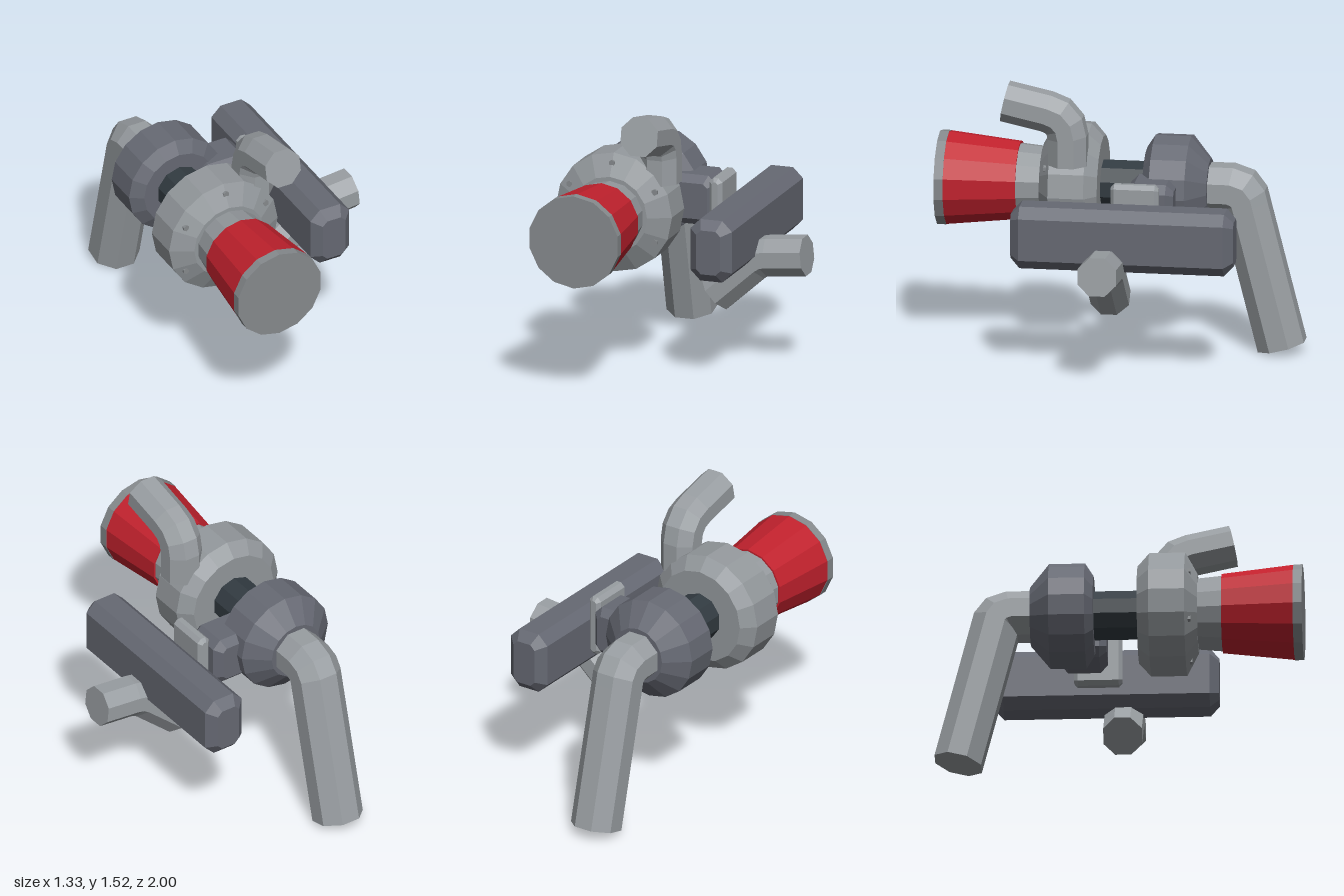
import * as THREE from 'three';

const mat = (name, color) => {
  const m = new THREE.MeshStandardMaterial({ color });
  m.name = name;
  return m;
};

export function createModel() {
  const group = new THREE.Group();
  group.name = 'turbocharger';
  const pipeGrey = mat('pipe grey', 0x999ea2);
  const castGrey = mat('cast grey', 0x93989c);
  const capGrey = mat('cap grey', 0x868a8d);
  const darkGrey = mat('dark grey', 0x666973);
  const shaftDark = mat('shaft dark', 0x323b41);
  const red = mat('filter red', 0xc1212d);
  const AX = -0.33, AY = 0.905; // main axis, running along z

  // Adds a mesh with faceted normals
  function add(name, geo, material, x = 0, y = 0, z = 0) {
    const g = geo.index ? geo.toNonIndexed() : geo;
    g.computeVertexNormals();
    const mesh = new THREE.Mesh(g, material);
    mesh.name = name;
    mesh.position.set(x, y, z);
    group.add(mesh);
    return mesh;
  }

  // Solid of revolution about the main axis; profile is [radius, z], back to front
  function turned(name, profile, sides, material) {
    const pts = profile.map(([r, z]) => new THREE.Vector2(r, z));
    const geo = new THREE.LatheGeometry(pts, sides).rotateX(Math.PI / 2);
    return add(name, geo, material, AX, AY, 0);
  }

  // Box with every edge chamfered by c
  function chamferBox(name, [x0, x1], [y0, y1], [z0, z1], c, material) {
    const a = (x1 - x0) / 2 - c, b = (y1 - y0) / 2 - c, k = c * 0.55;
    const shape = new THREE.Shape([
      [a, -b + k], [a, b - k], [a - k, b], [-a + k, b],
      [-a, b - k], [-a, -b + k], [-a + k, -b], [a - k, -b],
    ].map(([x, y]) => new THREE.Vector2(x, y)));
    const depth = z1 - z0 - 2 * c;
    const geo = new THREE.ExtrudeGeometry(shape, {
      depth, bevelEnabled: true, bevelSegments: 1, bevelSize: c, bevelThickness: c,
    }).translate(0, 0, -depth / 2);
    return add(name, geo, material, (x0 + x1) / 2, (y0 + y1) / 2, (z0 + z1) / 2);
  }

  // Eight-sided pipe swept along a planar path in (u, v); place maps (u, v, w) to space
  function pipe(name, path, half, place, material) {
    const N = 8, R = half / Math.cos(Math.PI / N), pos = [], idx = [];
    const P = path.map(([u, v]) => new THREE.Vector2(u, v));
    const dir = (i) => P[i + 1].clone().sub(P[i]).normalize();
    P.forEach((p, i) => {
      const d0 = dir(Math.max(i - 1, 0)), d1 = dir(Math.min(i, P.length - 2));
      const t = d0.clone().add(d1).normalize();
      const s = R / t.dot(d0);
      for (let j = 0; j < N; j++) {
        const q = ((j + 0.5) / N) * Math.PI * 2;
        const n = Math.cos(q) * s;
        pos.push(...place(p.x - t.y * n, p.y + t.x * n, Math.sin(q) * R));
      }
    });
    for (let i = 0; i < P.length - 1; i++) {
      for (let j = 0; j < N; j++) {
        const a = i * N + j, b = i * N + ((j + 1) % N);
        idx.push(a, b, a + N, b, b + N, a + N);
      }
    }
    const e = (P.length - 1) * N;
    for (let j = 1; j < N - 1; j++) {
      idx.push(0, j + 1, j, e, e + j, e + j + 1);
    }
    // Keep faces outward when the mapping mirrors the space
    const o = place(0, 0, 0);
    const axes = [place(1, 0, 0), place(0, 1, 0), place(0, 0, 1)]
      .map((v) => new THREE.Vector3(...v).sub(new THREE.Vector3(...o)));
    if (axes[0].clone().cross(axes[1]).dot(axes[2]) < 0) idx.reverse();
    const geo = new THREE.BufferGeometry();
    geo.setAttribute('position', new THREE.Float32BufferAttribute(pos, 3));
    geo.setIndex(idx);
    return add(name, geo, material);
  }

  // Intake filter and neck
  turned('filterCap', [[0, 0.95], [0.26, 0.95], [0.26, 1], [0, 1]], 14, capGrey);
  turned('filterCone', [[0, 0.56], [0.215, 0.56], [0.258, 0.951], [0, 0.951]], 14, red);
  turned('intakeNeck', [[0, 0.4], [0.19, 0.4], [0.205, 0.562], [0, 0.562]], 14, castGrey);

  // Compressor housing with a ring of bolts
  turned('compressorHousing', [
    [0, 0.105], [0.265, 0.105], [0.335, 0.17], [0.335, 0.365], [0.215, 0.43], [0, 0.43],
  ], 16, castGrey);
  for (let i = 0; i < 6; i++) {
    const a = (i / 6) * Math.PI * 2;
    const geo = new THREE.CylinderGeometry(0.018, 0.018, 0.04, 6).rotateX(Math.PI / 2);
    add('housingBolt', geo, capGrey, AX + Math.sin(a) * 0.283, AY + Math.cos(a) * 0.283, 0.378);
  }

  // Centre shaft and turbine housing
  turned('centreShaft', [[0, -0.2], [0.135, -0.2], [0.135, 0.15], [0, 0.15]], 10, shaftDark);
  turned('turbineHousing', [
    [0, -0.48], [0.16, -0.48], [0.285, -0.375], [0.285, -0.18], [0.215, -0.135], [0, -0.135],
  ], 16, darkGrey);

  // Exhaust, outlet and manifold pipes
  pipe('exhaustPipe', [
    [-0.42, 0.905], [-0.59, 0.905], [-0.64, 0.888], [-0.665, 0.855], [-0.675, 0.815], [-0.873, 0.034],
  ], 0.13, (u, v, w) => [AX + w, v, u], pipeGrey);
  pipe('outletPipe', [
    [0.265, 1.075], [0.265, 1.23], [0.28, 1.295], [0.32, 1.342], [0.38, 1.366], [0.61, 1.416],
  ], 0.105, (u, v, w) => [-0.095 + w, v, u], pipeGrey);
  pipe('manifoldPipe', [
    [0.13, 0.398], [0.355, 0.6], [0.395, 0.626], [0.44, 0.636], [0.65, 0.657],
  ], 0.105, (u, v, w) => [u, v, w], pipeGrey);

  // Manifold block, flange plate and turbine inlet
  chamferBox('manifoldBlock', [0.15, 0.39], [0.6, 0.947], [-0.7, 0.52], 0.05, darkGrey);
  chamferBox('flangePlate', [0.08, 0.155], [0.69, 1.035], [-0.262, 0], 0.02, pipeGrey);
  chamferBox('turbineInlet', [-0.21, 0.085], [0.735, 1.015], [-0.33, -0.075], 0.04, darkGrey);

  return group;
}
